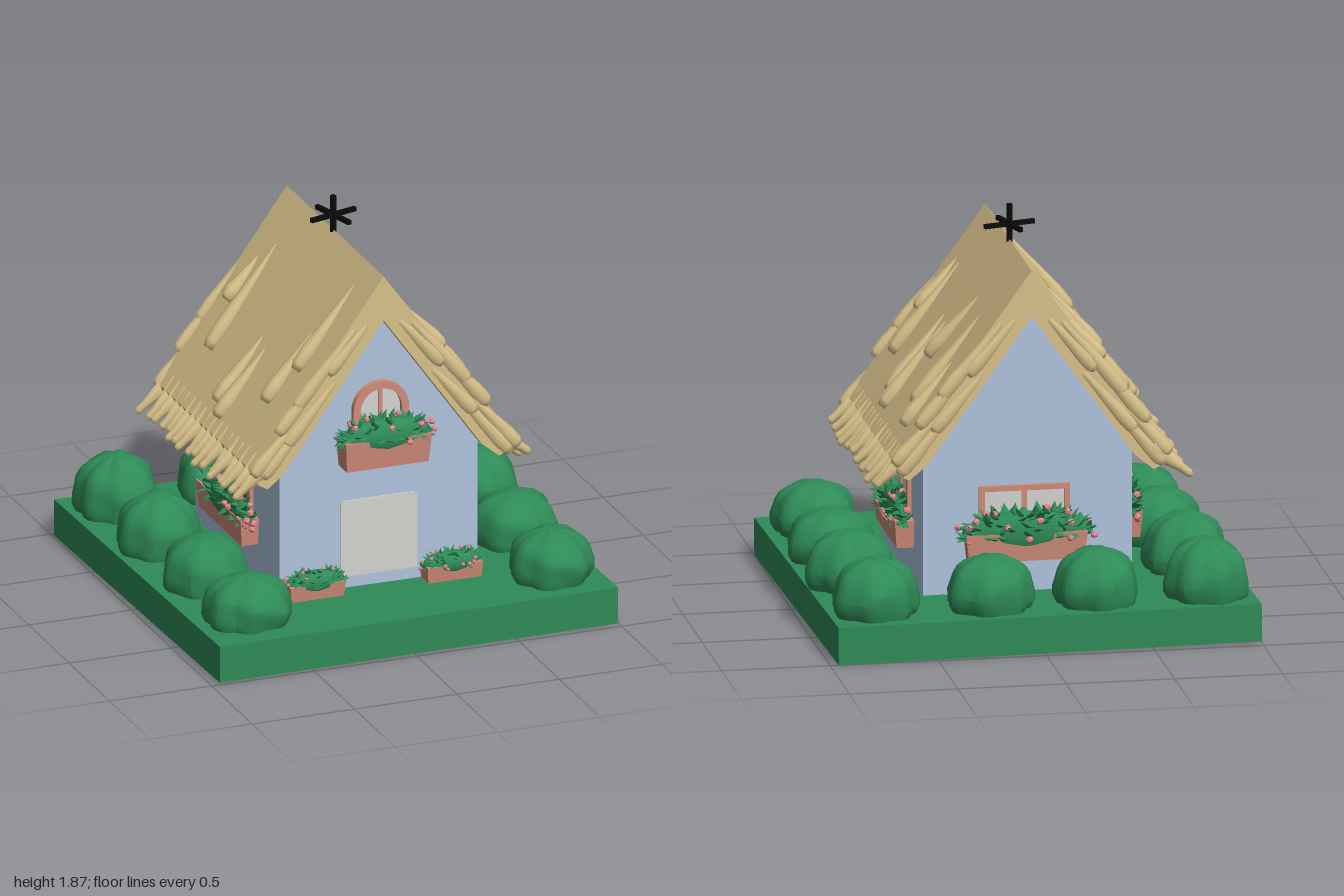
import * as THREE from 'three';
import { mergeGeometries, toCreasedNormals } from 'three/addons/utils/BufferGeometryUtils.js';

const paint = (name, color) => Object.assign(new THREE.MeshStandardMaterial({ color }), { name });
const V = (x, y, z) => new THREE.Vector3(x, y, z);

export function createModel() {
  const green = paint('leaf green', 0x2e8b57);
  const blue = paint('wall blue', 0xb0c4de);
  const straw = paint('straw', 0xd8c18a);
  const clay = paint('clay', 0xd08c78);
  const pale = paint('pale grey', 0xd3d3d0);
  const pink = paint('flower pink', 0xf08a94);
  const black = paint('iron black', 0x0a0a0a);

  let seed = 7;
  const rnd = (a = 0, b = 1) => {
    seed = (seed * 16807) % 2147483647;
    return a + (b - a) * (seed / 2147483647);
  };
  const model = new THREE.Group();
  model.name = 'cottage';
  const add = (parent, name, geo, mat, x = 0, y = 0, z = 0) => {
    const m = new THREE.Mesh(geo, mat);
    m.name = name;
    m.position.set(x, y, z);
    parent.add(m);
    return m;
  };
  const polygon = pts => new THREE.Shape(pts.map(p => new THREE.Vector2(p[0], p[1])));
  const extrude = (shape, depth, z) =>
    new THREE.ExtrudeGeometry(shape, { depth, bevelEnabled: false, curveSegments: 12 }).translate(0, 0, z);

  // Lawn slab, turned very slightly
  const lawn = add(model, 'lawn', new THREE.BoxGeometry(1.96, 0.175, 1.96), green, 0, 0.097, 0);
  lawn.rotation.set(0, 0.02, -0.005);

  // Gabled walls
  add(model, 'walls', extrude(polygon([[-0.48, 0.15], [0.485, 0.15], [0.485, 0.86], [0, 1.54], [-0.48, 0.86]]), 1.04, -0.52), blue);

  // Thatched roof: a thick chevron
  const chevron = [[0, 1.71], [0.39, 1.17], [0.635, 0.84], [0.61, 0.775], [0.565, 0.75], [0.48, 0.82], [0, 1.495],
    [-0.48, 0.82], [-0.565, 0.75], [-0.61, 0.775], [-0.635, 0.84], [-0.39, 1.17]];
  add(model, 'roof', extrude(polygon(chevron), 1.2, -0.61), straw);
  const roofY = x => 1.71 - 1.38 * Math.abs(x);

  // A tapered lock of straw from a to b, rounded at its thick end
  const lock = (a, b, ra, rb, flat = 1) => {
    const d = b.clone().sub(a), len = d.length();
    const prof = [[0, 0], [ra, 0], [rb, len * 0.75], [rb * 0.95, len * 0.93], [rb * 0.6, len], [0, len]];
    const g = new THREE.LatheGeometry(prof.map(p => new THREE.Vector2(p[0], p[1])), 8);
    g.scale(1, 1, flat);
    const y = d.normalize();
    const z = Math.abs(y.z) > 0.9 ? V(1, 0, 0) : V(0, 0, 1);
    const x = y.clone().cross(z).normalize();
    z.crossVectors(x, y);
    return g.applyMatrix4(new THREE.Matrix4().makeBasis(x, y, z).setPosition(a));
  };

  // Eave fringe, both sides
  const fringe = [];
  for (const s of [-1, 1]) {
    for (let i = 0; i < 18; i++) {
      const z = -0.58 + i * 0.0672 + rnd(-0.008, 0.008);
      const tip = rnd(0.7, 0.745);
      const g = lock(V(s * 0.555, 0.86, z), V(s * tip, 0.705 + rnd(0, 0.025), z + rnd(-0.012, 0.012)), 0.058, 0.021, 0.72);
      fringe.push(g);
    }
  }
  add(model, 'eaveFringe', mergeGeometries(fringe), straw);

  // Loose locks on the slopes: [x top, x bottom, z top, z bottom]
  const locks = [
    [0.15, 0.34, 0.46, 0.45], [0.15, 0.47, 0.39, 0.385], [0.27, 0.54, 0.11, 0.08], [0.28, 0.58, 0.03, 0.01],
    [0.16, 0.39, -0.16, -0.1], [0.19, 0.5, -0.35, -0.345], [0.33, 0.56, -0.41, -0.42],
    [-0.13, -0.48, -0.4, -0.37], [-0.19, -0.35, -0.48, -0.48], [-0.34, -0.57, -0.04, -0.045],
    [-0.36, -0.6, 0.04, 0.04], [-0.24, -0.48, 0.32, 0.33], [-0.07, -0.36, 0.4, 0.41]];
  const slopeLocks = locks.map(([x0, x1, z0, z1]) =>
    lock(V(x0, roofY(x0) - 0.015, z0), V(x1, roofY(x1) + 0.025, z1), 0.012, 0.038));
  add(model, 'slopeLocks', mergeGeometries(slopeLocks), straw);

  // Locks bulging along the gable edges
  const edgeLocks = [];
  for (const s of [-1, 1]) {
    for (const z of [-0.605, 0.585]) {
      for (const [x0, x1, dy] of [[0.08, 0.28, -0.1], [0.14, 0.42, -0.03], [0.24, 0.46, -0.14],
        [0.27, 0.52, -0.02], [0.36, 0.6, -0.12], [0.44, 0.64, -0.04]]) {
        const j = rnd(-0.02, 0.02);
        edgeLocks.push(lock(V(s * x0, roofY(x0) + dy - 0.02, z), V(s * (x1 + j), roofY(x1 + j) + dy + 0.03, z), 0.014, 0.036, 0.6));
      }
    }
  }
  add(model, 'gableLocks', mergeGeometries(edgeLocks), straw);

  // Roof vane
  const vane = new THREE.Group();
  vane.name = 'roofVane';
  vane.position.set(0, 1.78, -0.035);
  vane.rotation.y = 0.27;
  model.add(vane);
  add(vane, 'vanePost', new THREE.BoxGeometry(0.02, 0.19, 0.02), black);
  add(vane, 'vaneBarAcross', new THREE.BoxGeometry(0.25, 0.02, 0.02), black);
  add(vane, 'vaneBarAlong', new THREE.BoxGeometry(0.02, 0.02, 0.25), black);

  // Flower box: clay trough, leaf mound and blossoms; its back lies on z = 0
  const flowerBox = (parent, x, y, w, h, d, leafH, leaves) => {
    const g = new THREE.Group();
    g.name = 'flowerBox';
    g.position.set(x, y, 0);
    parent.add(g);
    const trough = new THREE.BoxGeometry(w, h, d).translate(0, h / 2, d / 2);
    const p = trough.attributes.position;
    for (let i = 0; i < p.count; i++)
      if (p.getY(i) < 0.001) p.setXYZ(i, p.getX(i) * 0.95, 0, p.getZ(i) * 0.88);
    trough.computeVertexNormals();
    add(g, 'trough', trough, clay);
    const rx = w / 2 + leafH * 0.12, rz = d * 0.5;
    const mound = new THREE.SphereGeometry(1, 16, 10).scale(rx, leafH * 0.65, rz).translate(0, h, d * 0.55);
    add(g, 'leafMound', mound, green);
    const place = (geo, k) => {
      const a = rnd(0, Math.PI * 2), u = rnd(-0.3, 0.95), r = Math.sqrt(1 - u * u);
      const n = V(r * Math.cos(a), u, r * Math.sin(a));
      const at = V(n.x * rx * k, h + n.y * leafH * 0.7 * k, Math.max(0.015, d * 0.55 + n.z * rz * k));
      const m = new THREE.Matrix4().lookAt(V(n.x + rnd(-0.8, 0.8), n.y + rnd(-0.4, 0.8), n.z + rnd(-0.8, 0.8)), V(0, 0, 0), V(0, 1, 0));
      return geo.applyMatrix4(m.setPosition(at));
    };
    const size = leafH * 0.3;
    const leafGeos = [], blooms = [];
    for (let i = 0; i < leaves; i++)
      leafGeos.push(place(new THREE.OctahedronGeometry(1).scale(size * 0.5, size * 0.2, size), 0.98));
    for (let i = 0; i < leaves / 6; i++)
      blooms.push(place(new THREE.IcosahedronGeometry(size * 0.4, 0), 1.1));
    add(g, 'leaves', mergeGeometries(leafGeos), green);
    add(g, 'blossoms', mergeGeometries(blooms), pink);
  };

  // Wall faces: groups whose local +z points out of the wall
  const face = (name, x, z, turn) => {
    const g = new THREE.Group();
    g.name = name;
    g.position.set(x, 0, z);
    g.rotation.y = turn;
    model.add(g);
    return g;
  };
  const front = face('frontWall', 0, 0.52, 0);

  // Door panel with rounded top corners
  const door = new THREE.Shape();
  door.moveTo(-0.185, 0.24).lineTo(0.19, 0.24).lineTo(0.19, 0.58).quadraticCurveTo(0.19, 0.61, 0.16, 0.61);
  door.lineTo(-0.155, 0.61).quadraticCurveTo(-0.185, 0.61, -0.185, 0.58);
  add(front, 'door', extrude(door, 0.008, 0), pale);

  // Arched gable window
  const arch = (r, base) => {
    const s = new THREE.Shape();
    s.moveTo(-r, base).lineTo(r, base).lineTo(r, 1.045);
    s.absarc(0, 1.045, r, 0, Math.PI, false);
    return s;
  };
  const archFrame = arch(0.135, 0.92);
  archFrame.holes.push(arch(0.1, 0.95));
  const archWindow = new THREE.Group();
  archWindow.name = 'archWindow';
  archWindow.position.x = 0.005;
  front.add(archWindow);
  add(archWindow, 'archFrame', extrude(archFrame, 0.03, 0), clay);
  add(archWindow, 'archGlass', extrude(arch(0.11, 0.94), 0.008, 0), pale);
  add(archWindow, 'archMullion', new THREE.BoxGeometry(0.018, 0.2, 0.02), clay, 0, 1.04, 0.01);
  flowerBox(front, 0.007, 0.79, 0.42, 0.14, 0.12, 0.13, 90);

  // Pots beside the door
  flowerBox(front, -0.33, 0.17, 0.27, 0.09, 0.1, 0.085, 70);
  flowerBox(front, 0.34, 0.17, 0.27, 0.09, 0.1, 0.085, 70);

  // Square windows with flower boxes on the sides and back
  for (const wall of [face('leftWall', 0.485, -0.015, Math.PI / 2), face('rightWall', -0.48, -0.015, -Math.PI / 2),
    face('backWall', 0.02, -0.52, Math.PI)]) {
    const rect = (w, y0, y1) => polygon([[-w, y0], [w, y0], [w, y1], [-w, y1]]);
    const frame = rect(0.21, 0.42, 0.685);
    frame.holes.push(rect(0.183, 0.445, 0.66));
    add(wall, 'windowFrame', extrude(frame, 0.02, 0), clay);
    add(wall, 'windowGlass', extrude(rect(0.19, 0.44, 0.67), 0.007, 0), pale);
    add(wall, 'windowMullion', new THREE.BoxGeometry(0.025, 0.23, 0.016), clay, 0, 0.55, 0.008);
    flowerBox(wall, -0.0, 0.345, 0.56, 0.13, 0.09, 0.15, 110);
  }

  // Lobed bushes: [x, z, height]
  const bushes = [[-0.78, -0.75, 0.46], [-0.27, -0.76, 0.44], [0.22, -0.77, 0.43], [0.75, -0.77, 0.44],
    [-0.77, -0.25, 0.45], [-0.74, 0.25, 0.43], [-0.72, 0.73, 0.41],
    [0.78, -0.27, 0.44], [0.78, 0.22, 0.41], [0.77, 0.71, 0.41]];
  for (const [x, z, top] of bushes) {
    const g = new THREE.SphereGeometry(1, 28, 14);
    const p = g.attributes.position, v = V(0, 0, 0), phase = rnd(0, 6);
    for (let i = 0; i < p.count; i++) {
      v.fromBufferAttribute(p, i);
      const t = Math.atan2(v.z, v.x), side = Math.hypot(v.x, v.z);
      const lobe = Math.abs(Math.sin(3.5 * t + phase)) * 0.13 + 0.04 * Math.sin(2 * t + phase);
      const f = 0.9 + side * (lobe + 0.03 * Math.sin(7 * v.y + 3 * Math.cos(t))) + 0.1 * (1 - side);
      p.setXYZ(i, v.x * f * 0.2, v.y * f * (v.y > 0 ? top - 0.26 : 0.2), v.z * f * 0.2);
    }
    add(model, 'bush', toCreasedNormals(g, 0.6), green, x, 0.26, z);
  }
  return model;
}
